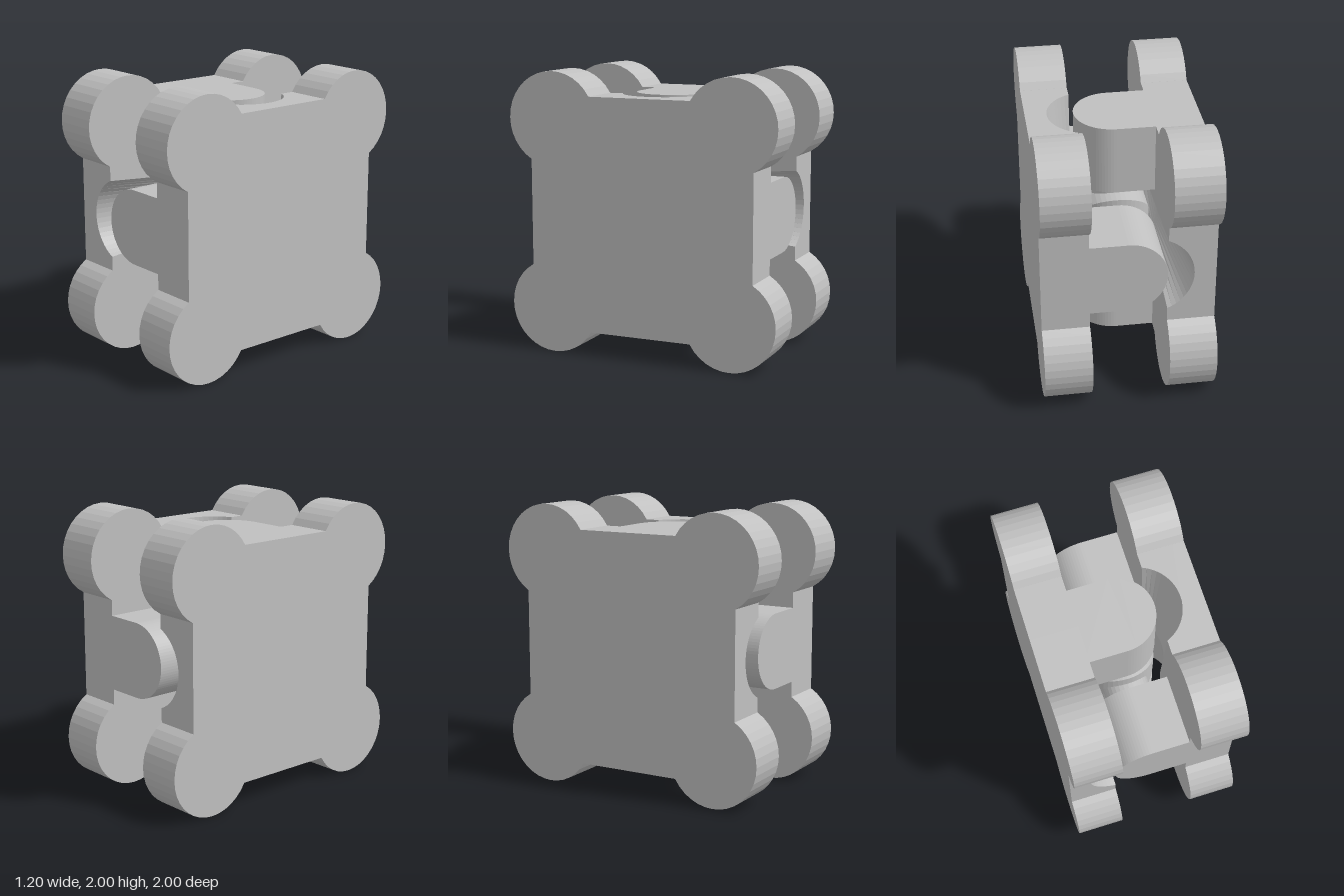
import * as THREE from 'three';

const OUT = 0.833;    // half width of the square plates
const INNER = 0.267;  // inner face of the plates, also the arm radius
const GAP = 0.333;    // inner face of the arms
const CORNER = 0.667; // centre of the corner discs

const grey = new THREE.MeshStandardMaterial({ color: 0xc0c0c0 });
grey.name = 'plainGrey';

// Mesh with faceted normals
function part(name, geometry) {
  const g = geometry.index ? geometry.toNonIndexed() : geometry;
  g.computeVertexNormals();
  const mesh = new THREE.Mesh(g, grey);
  mesh.name = name;
  return mesh;
}

// Plate section with a round groove in its inner face, centred at x = c
function plateSection(c) {
  const r = 0.3, n = 20;
  const a = Math.acos((-INNER - c) / r);
  const pts = [new THREE.Vector2(-0.6, -OUT), new THREE.Vector2(-INNER, -OUT)];
  for (let i = 0; i <= n; i++) {
    const t = 2 * Math.PI - a + (2 * a - 2 * Math.PI) * (i / n);
    pts.push(new THREE.Vector2(c + r * Math.cos(t), r * Math.sin(t)));
  }
  pts.push(new THREE.Vector2(-INNER, OUT), new THREE.Vector2(-0.6, OUT));
  return pts;
}

// Plate lofted along z, its groove getting deeper toward both ends
function groovedPlate() {
  const rings = [[-OUT, -0.15], [0, -0.045], [OUT, -0.15]].map(([z, c]) =>
    plateSection(c).map((p) => new THREE.Vector3(p.x, p.y, z)));
  const v = [];
  const tri = (a, b, c) => [a, b, c].forEach((p) => v.push(p.x, p.y, p.z));
  for (let k = 0; k < 2; k++) {
    const lo = rings[k], hi = rings[k + 1];
    lo.forEach((p, i) => {
      const j = (i + 1) % lo.length;
      tri(p, lo[j], hi[j]);
      tri(p, hi[j], hi[i]);
    });
  }
  THREE.ShapeUtils.triangulateShape(plateSection(-0.15), []).forEach(([a, b, c]) => {
    tri(rings[2][a], rings[2][b], rings[2][c]);
    tri(rings[0][c], rings[0][b], rings[0][a]);
  });
  const g = new THREE.BufferGeometry();
  g.setAttribute('position', new THREE.Float32BufferAttribute(v, 3));
  return g;
}

// Round-ended fork arm lying in the xz plane, from y = GAP to y = OUT
function armGeometry() {
  const s = new THREE.Shape();
  s.moveTo(-0.3, -INNER);
  s.lineTo(0, -INNER);
  s.absarc(0, 0, INNER, -Math.PI / 2, Math.PI / 2, false);
  s.lineTo(-0.3, INNER);
  s.closePath();
  const g = new THREE.ExtrudeGeometry(s, { depth: OUT - GAP, bevelEnabled: false, curveSegments: 20 });
  g.rotateX(-Math.PI / 2);
  g.translate(0, GAP, 0);
  return g;
}

// One yoke: plate, four corner discs and two fork arms
function yoke(name) {
  const group = new THREE.Group();
  group.name = name;
  group.add(part('plate', groovedPlate()));
  for (const y of [-1, 1]) {
    for (const z of [-1, 1]) {
      const disc = new THREE.CylinderGeometry(0.333, 0.333, 0.6 - INNER, 36);
      disc.rotateZ(Math.PI / 2);
      disc.translate(-(0.6 + INNER) / 2, y * CORNER, z * CORNER);
      group.add(part('cornerDisc', disc));
    }
    const arm = armGeometry();
    if (y < 0) arm.rotateX(Math.PI);
    group.add(part('forkArm', arm));
  }
  return group;
}

// Cross joint: a block round in both hinge directions, with two pins
function crossJoint() {
  const group = new THREE.Group();
  group.name = 'crossJoint';
  const block = new THREE.BoxGeometry(2, 2, 2, 24, 1, 1);
  const p = block.attributes.position;
  for (let i = 0; i < p.count; i++) {
    const a = p.getX(i) * Math.PI / 2;
    const h = INNER * Math.max(Math.cos(a), 0.002);
    p.setXYZ(i, INNER * Math.sin(a), p.getY(i) * h, p.getZ(i) * h);
  }
  group.add(part('jointBlock', block));
  for (const turn of [0, Math.PI / 2]) {
    const pin = new THREE.CylinderGeometry(0.165, 0.165, 1.1, 32);
    pin.rotateX(turn);
    group.add(part('hingePin', pin));
  }
  return group;
}

export function createModel() {
  const model = new THREE.Group();
  model.name = 'universalJoint';
  const body = new THREE.Group();
  body.name = 'joint';
  body.position.y = 1;
  const right = yoke('rightYoke');
  // Same yoke facing the other way and turned a quarter
  const left = yoke('leftYoke');
  left.rotation.set(Math.PI / 2, 0, Math.PI);
  body.add(right, left, crossJoint());
  model.add(body);
  return model;
}
